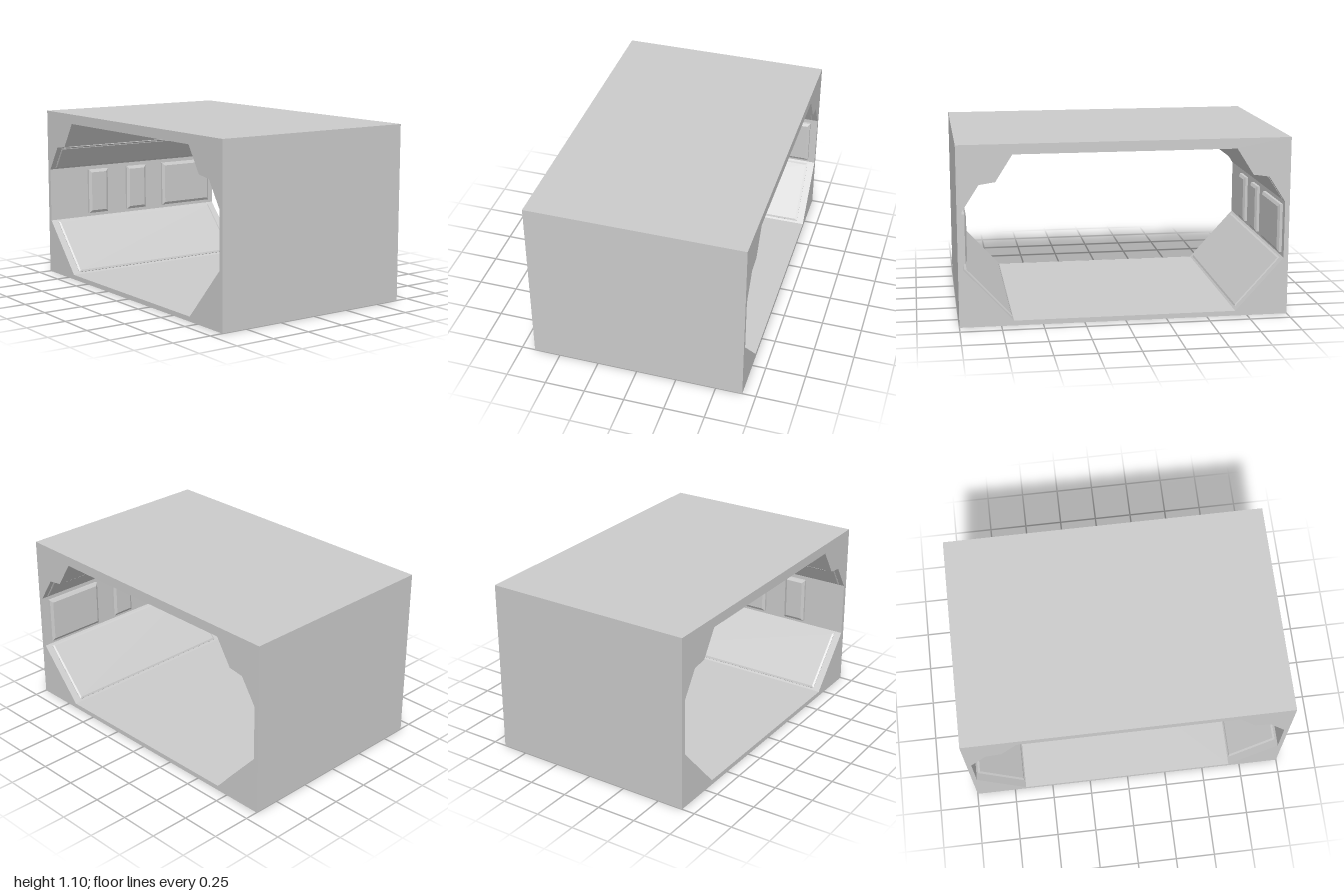
import * as THREE from 'three';

const material = new THREE.MeshStandardMaterial({ color: 0xcccccc });
const LENGTH = 1.332, HEIGHT = 1.097;

// Half of the tunnel section as [z, y], from ceiling corner down to floor corner
const PROFILE = [[0.67, 1.035], [0.772, 0.874], [0.869, 0.86], [0.971, 0.702], [0.971, 0.354], [0.676, 0.03]];

// Outer block with the tunnel cut through along x
function shellGeometry() {
  const shape = new THREE.Shape([[-1, 0], [1, 0], [1, HEIGHT], [-1, HEIGHT]].map(p => new THREE.Vector2(...p)));
  const right = PROFILE.map(([z, y]) => new THREE.Vector2(z, y));
  const left = PROFILE.map(([z, y]) => new THREE.Vector2(-z, y)).reverse();
  shape.holes.push(new THREE.Path([...right, ...left]));
  return new THREE.ExtrudeGeometry(shape, { depth: LENGTH, bevelEnabled: false })
    .translate(0, 0, -LENGTH / 2).rotateY(Math.PI / 2);
}

// Chamfered raised panel; its foot is sunk into the surface behind it
function panelGeometry(width, height, raise, bevel) {
  const w = width / 2 - bevel, h = height / 2 - bevel;
  const shape = new THREE.Shape([[-w, -h], [w, -h], [w, h], [-w, h]].map(p => new THREE.Vector2(...p)));
  const thick = Math.min(raise, bevel) * 0.6;
  const depth = raise - thick + 0.004;
  return new THREE.ExtrudeGeometry(shape, {
    depth, bevelEnabled: true, bevelThickness: thick, bevelSize: bevel, bevelSegments: 1,
  }).translate(0, 0, raise - thick - depth);
}

// Lays a panel on the section line a-b, facing the middle of the tunnel
function addPanel(group, name, a, b, x0, x1, raise, bevel, inset) {
  const p = new THREE.Vector3(0, a[1], a[0]), q = new THREE.Vector3(0, b[1], b[0]);
  const along = q.clone().sub(p);
  const span = along.length();
  along.normalize();
  const centre = p.add(q).multiplyScalar(0.5);
  const normal = new THREE.Vector3(0, along.z, -along.y);
  if (normal.dot(new THREE.Vector3(0, 0.53, 0).sub(centre)) < 0) normal.negate();
  const side = along.clone().cross(normal);
  const mesh = new THREE.Mesh(panelGeometry(x1 - x0, span - 2 * inset, raise, bevel), material);
  mesh.quaternion.setFromRotationMatrix(new THREE.Matrix4().makeBasis(side, along, normal));
  mesh.position.copy(centre).setX((x0 + x1) / 2);
  mesh.name = name;
  group.add(mesh);
}

export function createModel() {
  const model = new THREE.Group();
  model.name = 'corridorSection';
  const shell = new THREE.Mesh(shellGeometry(), material);
  shell.name = 'shell';
  model.add(shell);

  // Ceiling panel
  addPanel(model, 'ceilingPanel', [-0.67, 1.035], [0.67, 1.035], -0.62, 0.62, 0.01, 0.012, 0.012);

  for (const s of [1, -1]) {
    const side = new THREE.Group();
    side.name = s > 0 ? 'frontWall' : 'backWall';
    model.add(side);
    const P = PROFILE.map(([z, y]) => [z * s, y]);

    // Strip under the ledge and panels on both slopes
    addPanel(side, 'ledgeStrip', P[1], P[2], -0.62, 0.62, 0.011, 0.01, 0.01);
    addPanel(side, 'upperSlopePanel', P[2], P[3], -0.63, 0.63, 0.005, 0.006, 0.01);
    addPanel(side, 'lowerSlopePanel', P[4], P[5], -0.62, 0.62, 0.008, 0.012, 0.014);

    // One wide and two narrow panels on the upright wall
    for (const [x0, x1] of [[0.22, 0.62], [-0.075, 0.08], [-0.38, -0.23]])
      addPanel(side, 'wallPanel', P[3], P[4], x0, x1, 0.028, 0.018, 0.024);
  }
  return model;
}
